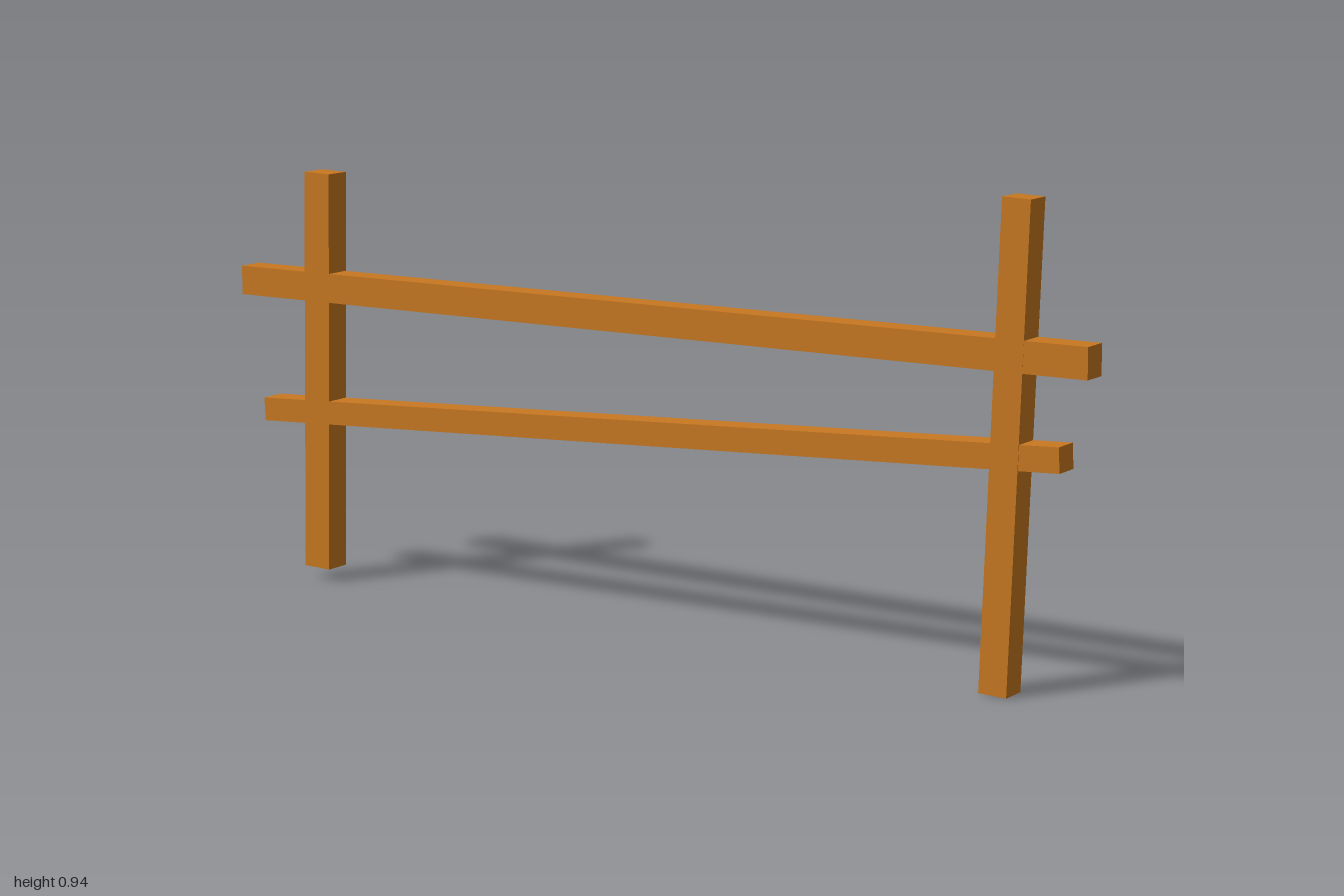
import * as THREE from 'three';

const wood = new THREE.MeshStandardMaterial({ color: 0xc87820, flatShading: true });

// Square-cut beam running between the centres of its two end faces
function beam(name, start, end, thickness, depth) {
  const a = new THREE.Vector3(...start);
  const b = new THREE.Vector3(...end);
  const dir = b.clone().sub(a);
  const mesh = new THREE.Mesh(new THREE.BoxGeometry(thickness, dir.length(), depth), wood);
  mesh.name = name;
  mesh.position.copy(a).add(b).multiplyScalar(0.5);
  mesh.quaternion.setFromUnitVectors(new THREE.Vector3(0, 1, 0), dir.normalize());
  return mesh;
}

export function createModel() {
  const fence = new THREE.Group();
  fence.name = 'fence';
  fence.add(
    // Slightly leaning posts
    beam('rightPost', [-0.805, 0.027, 0.001], [-0.79, 0.87, -0.001], 0.065, 0.056),
    beam('leftPost', [0.82, 0.001, 0.003], [0.847, 0.935, -0.0015], 0.059, 0.056),
    // Uneven rails
    beam('upperRail', [-0.999, 0.628, 0], [0.999, 0.646, 0], 0.061, 0.055),
    beam('lowerRail', [-0.943, 0.355, 0], [0.946, 0.462, 0], 0.049, 0.055),
  );
  return fence;
}
